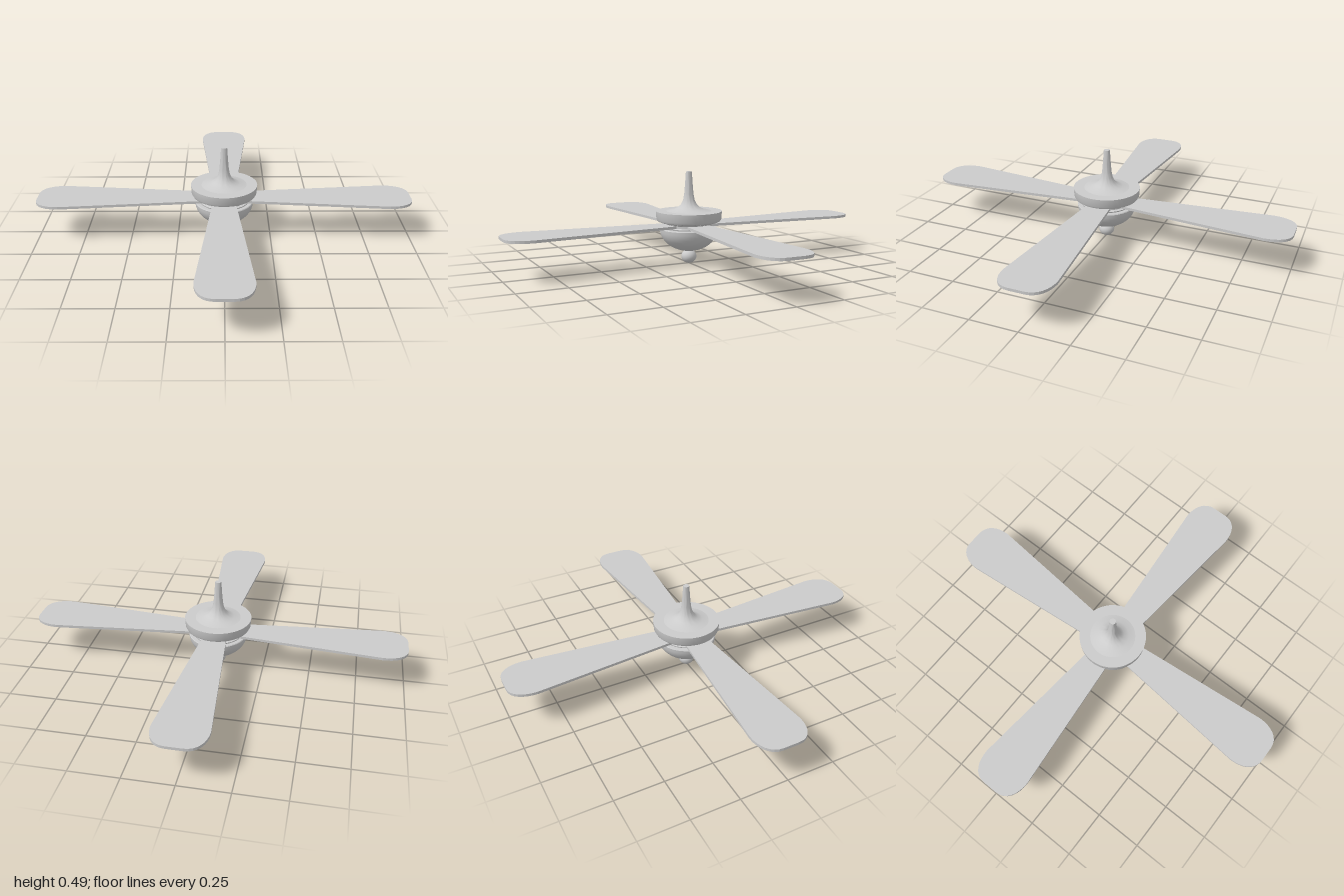
import * as THREE from 'three';
import { toCreasedNormals } from 'three/addons/utils/BufferGeometryUtils.js';

const material = new THREE.MeshStandardMaterial({ color: 0xcccccc, side: THREE.DoubleSide });

// Turned part from [radius, height] points, listed bottom to top on the outside
function turned(name, points) {
  const geometry = new THREE.LatheGeometry(points.map(([r, y]) => new THREE.Vector2(r, y)), 48);
  const mesh = new THREE.Mesh(toCreasedNormals(geometry, 0.6), material);
  mesh.name = name;
  return mesh;
}

// Flat paddle that widens outward and ends in rounded corners
function bladeGeometry() {
  const s = new THREE.Shape();
  s.moveTo(0.08, -0.06);
  s.lineTo(0.87, -0.135);
  s.bezierCurveTo(0.94, -0.135, 1, -0.105, 1, -0.04);
  s.lineTo(1, 0.04);
  s.bezierCurveTo(1, 0.105, 0.94, 0.135, 0.87, 0.135);
  s.lineTo(0.08, 0.06);
  s.closePath();
  const geometry = new THREE.ExtrudeGeometry(s, { depth: 0.014, bevelEnabled: false, curveSegments: 8 });
  geometry.rotateX(-Math.PI / 2);
  geometry.translate(0, 0.201, 0);
  return geometry;
}

export function createModel() {
  const fan = new THREE.Group();
  fan.name = 'ceilingFan';

  // Down rod flaring into the motor cover
  fan.add(turned('downRod', [
    [0.12, 0.284], [0.085, 0.291], [0.06, 0.302], [0.043, 0.318], [0.031, 0.342],
    [0.025, 0.375], [0.021, 0.42], [0.016, 0.494], [0, 0.494],
  ]));

  // Motor housing with a stepped underside
  fan.add(turned('motorHousing', [
    [0, 0.216], [0.125, 0.216], [0.13, 0.226], [0.155, 0.226], [0.168, 0.231],
    [0.174, 0.242], [0.177, 0.284], [0, 0.284],
  ]));

  // Hub that holds the blades
  fan.add(turned('hub', [
    [0, 0.182], [0.13, 0.182], [0.135, 0.198], [0.122, 0.202], [0.122, 0.214], [0.128, 0.22], [0, 0.22],
  ]));

  // Light bowl
  const bowl = [];
  for (let i = 0; i <= 12; i++) {
    const a = (i / 12) * Math.PI / 2;
    bowl.push([0.156 * Math.sin(a), 0.188 - 0.12 * Math.cos(a)]);
  }
  fan.add(turned('lightBowl', [...bowl, [0.153, 0.192], [0, 0.192]]));

  // Finial ball under the bowl
  const finial = new THREE.Mesh(new THREE.SphereGeometry(0.041, 24, 16), material);
  finial.name = 'finial';
  finial.scale.y = 0.9;
  finial.position.y = 0.037;
  fan.add(finial);

  // Four blades
  const blade = bladeGeometry();
  for (let i = 0; i < 4; i++) {
    const mesh = new THREE.Mesh(blade, material);
    mesh.name = `blade${i + 1}`;
    mesh.rotation.y = i * Math.PI / 2;
    fan.add(mesh);
  }
  return fan;
}
